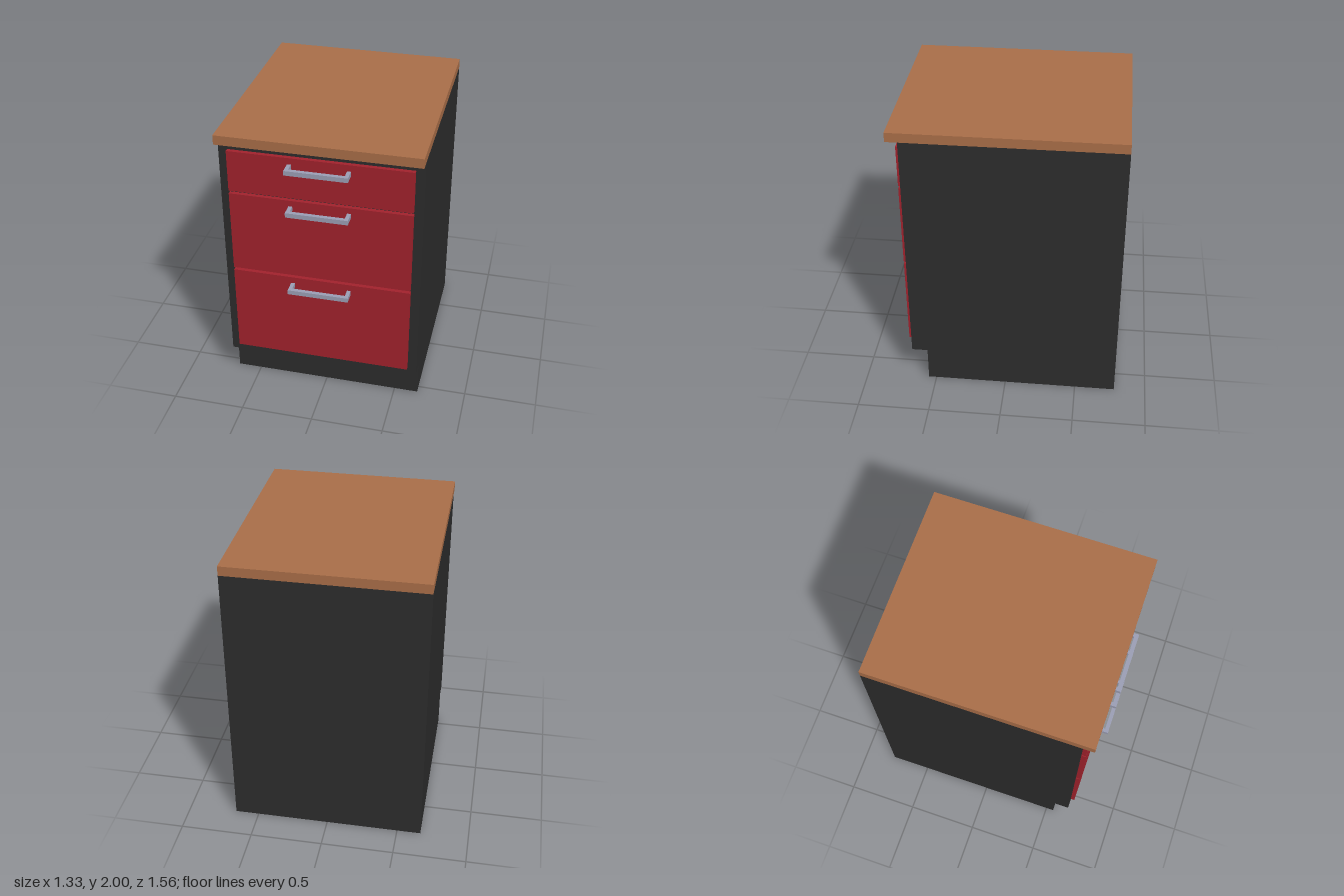
import * as THREE from 'three';

const mat = (name, color) => {
  const m = new THREE.MeshStandardMaterial({ color });
  m.name = name;
  return m;
};

// Box given by its min and max corners
function box(name, material, [x0, y0, z0], [x1, y1, z1]) {
  const mesh = new THREE.Mesh(new THREE.BoxGeometry(x1 - x0, y1 - y0, z1 - z0), material);
  mesh.position.set((x0 + x1) / 2, (y0 + y1) / 2, (z0 + z1) / 2);
  mesh.name = name;
  return mesh;
}

// Counter-clockwise rectangle points
const rect = (x, y0, y1) => [[-x, y0], [x, y0], [x, y1], [-x, y1]].map(p => new THREE.Vector2(...p));

export function createModel() {
  const wood = mat('wood', 0xab6f49);
  const charcoal = mat('charcoal', 0x2d2d2d);
  const red = mat('red', 0xa3222d);
  const steel = mat('steel', 0x9da0b6);

  const W = 0.665, BACK = -0.78, FRONT = 0.665, KICK = 0.25, TOP = 1.935;
  const model = new THREE.Group();
  model.name = 'drawerCabinet';

  // Worktop and carcass
  model.add(box('worktop', wood, [-W, TOP, BACK], [W, 2, 0.745]));
  model.add(box('carcass', charcoal, [-W, KICK, BACK], [W, TOP, FRONT]));

  // Hollow plinth, set back at the front and open underneath
  const wall = 0.065, kickZ = 0.555;
  const ring = new THREE.Shape(rect(W, -kickZ, -BACK));
  ring.holes.push(new THREE.Path(rect(W - wall, -kickZ + wall, -BACK - wall).reverse()));
  const plinthGeo = new THREE.ExtrudeGeometry(ring, { depth: KICK, bevelEnabled: false });
  plinthGeo.rotateX(-Math.PI / 2);
  const plinth = new THREE.Mesh(plinthGeo, charcoal);
  plinth.name = 'plinth';
  model.add(plinth);

  // Drawers: bottom, top, handle height
  const drawers = [[1.58, 1.87, 1.81], [0.98, 1.56, 1.503], [0.31, 0.96, 0.898]];
  const face = 0.693, h = 0.016;
  for (const [y0, y1, hy] of drawers) {
    const drawer = new THREE.Group();
    drawer.name = 'drawer';
    drawer.add(box('drawerFront', red, [-0.605, y0, FRONT], [0.605, y1, face]));

    // Bar handle on two posts
    const handle = new THREE.Group();
    handle.name = 'handle';
    handle.add(box('handleBar', steel, [-0.205, hy - h, 0.753], [0.205, hy + h, 0.78]));
    for (const s of [-1, 1]) {
      const x = s * 0.1925;
      handle.add(box('handlePost', steel, [x - 0.0125, hy - h, face], [x + 0.0125, hy + h, 0.753]));
    }
    drawer.add(handle);
    model.add(drawer);
  }
  return model;
}
